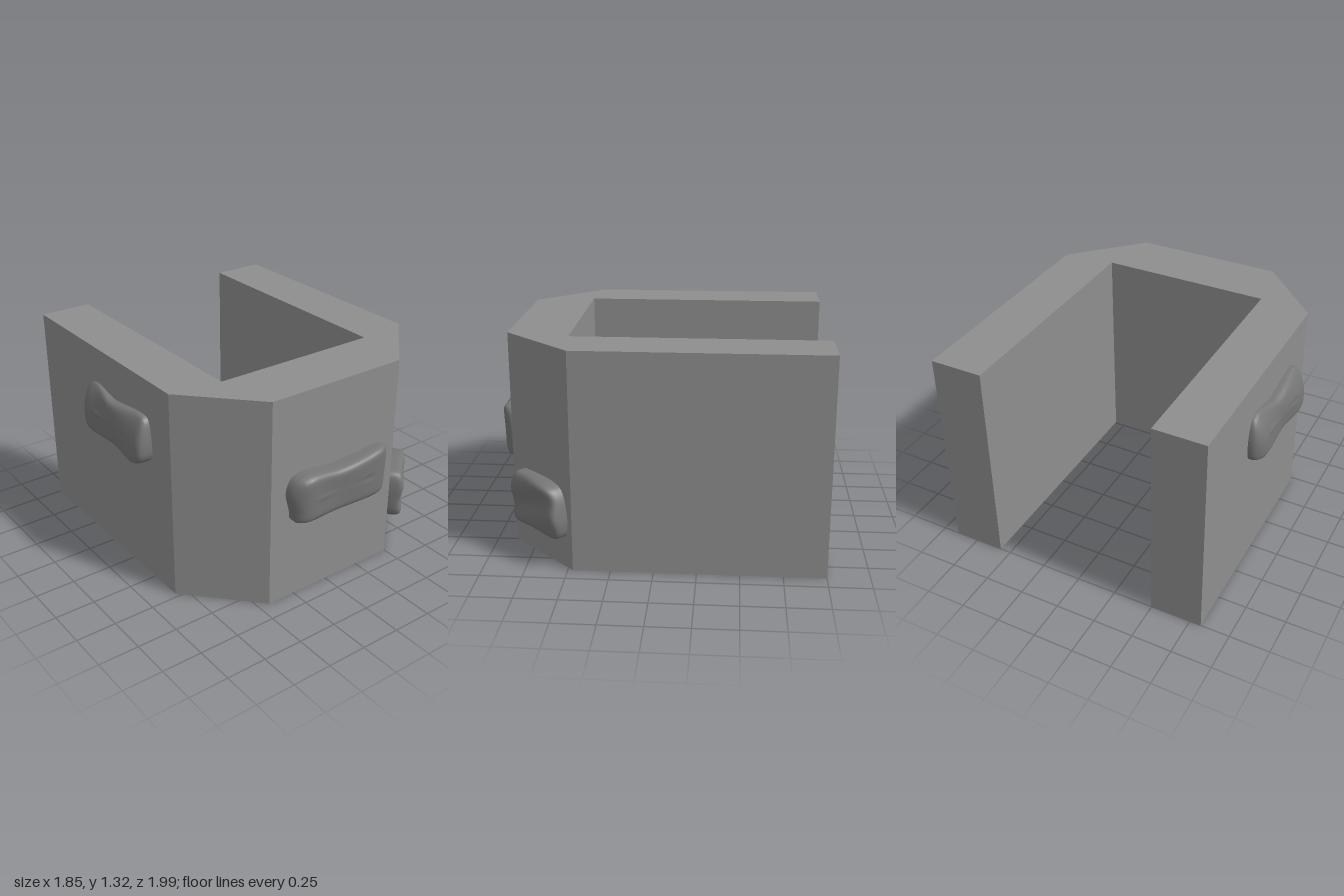
import * as THREE from 'three';
import { mergeGeometries } from 'three/addons/utils/BufferGeometryUtils.js';

const wallGrey = new THREE.MeshStandardMaterial({ color: 0x8e8e8e, side: THREE.DoubleSide });
const stoneGrey = new THREE.MeshStandardMaterial({ color: 0x767676 });
const HEIGHT = 1.32;

// U-shaped hollow wall with two chamfered front corners, open underneath
function makeWall() {
  const plan = [
    [-0.82, -1], [-0.497, -1], [-0.497, 0.51], [0.57, 0.51], [0.57, -1], [0.897, -1],
    [0.897, 0.47], [0.5, 0.88], [-0.43, 0.88], [-0.82, 0.47],
  ];
  const top = new THREE.ShapeGeometry(new THREE.Shape(plan.map(([x, z]) => new THREE.Vector2(x, -z))));
  top.rotateX(-Math.PI / 2).translate(0, HEIGHT, 0);
  const panels = plan.map(([x, z], i) => {
    const [x2, z2] = plan[(i + 1) % plan.length];
    const panel = new THREE.PlaneGeometry(Math.hypot(x2 - x, z2 - z), HEIGHT);
    panel.rotateY(Math.atan2(z2 - z, x - x2));
    return panel.translate((x + x2) / 2, HEIGHT / 2, (z + z2) / 2);
  });
  const wall = new THREE.Mesh(mergeGeometries([top, ...panels]), wallGrey);
  wall.name = 'wall';
  return wall;
}

// Worn stone set halfway into the wall: an outline stacked in rings that close at both ends
function makeStone(name, outline, depth) {
  const curve = new THREE.CatmullRomCurve3(
    outline.map(([u, v]) => new THREE.Vector3(u, v, 0)), true, 'catmullrom', 0.4);
  const N = 72, half = 0.16;
  const edge = curve.getSpacedPoints(N).slice(0, N);
  const c = new THREE.Box3().setFromPoints(edge).getCenter(new THREE.Vector3());
  // shrink of each ring (in units) and its share of the depth
  const frontRings = [[0, 0.1], [0, 0.5], [0.004, 0.75], [0.013, 0.9], [0.03, 0.98],
    [0.05, 1], [0.075, 1], [0.1, 1], [0.125, 1], [0.145, 1]];
  const rings = [...frontRings.map(([s, d]) => [s, -d]).reverse(), ...frontRings];
  const pos = [], idx = [];
  for (const [shrink, share] of rings) {
    for (const p of edge) {
      const du = p.x - c.x;
      const u = c.x + du * (1 - shrink / Math.max(Math.abs(du), half));
      const v = c.y + (p.y - c.y) * (1 - shrink / half);
      pos.push(u, v, share * depth(u, v));
    }
  }
  for (let r = 0; r < rings.length - 1; r++) {
    for (let i = 0; i < N; i++) {
      const j = (i + 1) % N, a = r * N + i, b = r * N + j;
      idx.push(a, b, b + N, a, b + N, a + N);
    }
  }
  // close the middle of the back and the front
  const last = (rings.length - 1) * N, mid = rings.length * N;
  pos.push(c.x, c.y, -depth(c.x, c.y), c.x, c.y, depth(c.x, c.y));
  for (let i = 0; i < N; i++) {
    const j = (i + 1) % N;
    idx.push(j, i, mid, last + i, last + j, mid + 1);
  }
  const geo = new THREE.BufferGeometry();
  geo.setAttribute('position', new THREE.Float32BufferAttribute(pos, 3));
  geo.setIndex(idx);
  geo.computeVertexNormals();
  const stone = new THREE.Mesh(geo, stoneGrey);
  stone.name = name;
  return stone;
}

// how far a value lies past a limit, squared, for tapering the ends
const past = (value, limit) => Math.max(0, value - limit) ** 2;

export function createModel() {
  const model = new THREE.Group();
  model.add(makeWall());

  // long stone on the front face (outlines run anticlockwise)
  const front = makeStone('frontStone', [
    [-0.28, 0.53], [-0.1, 0.525], [0.2, 0.512], [0.4, 0.52], [0.417, 0.6], [0.413, 0.75],
    [0.38, 0.825], [0.22, 0.815], [0, 0.805], [-0.2, 0.828], [-0.29, 0.805], [-0.327, 0.72], [-0.3, 0.6],
  ], (u, v) => 0.098 - 0.035 * u + 0.06 * (v - 0.67) + 0.004 * Math.sin(14 * u + 8 * v)
    - 4 * past(-u, 0.2) - 3 * past(u, 0.3));
  front.position.z = 0.88;

  // squarish stone on the left chamfer, with slanting grooves
  const corner = makeStone('cornerStone', [
    [-0.2, 0.2], [0, 0.192], [0.19, 0.192], [0.222, 0.28], [0.2, 0.42], [0.16, 0.485],
    [0.07, 0.51], [-0.12, 0.513], [-0.215, 0.495], [-0.232, 0.36],
  ], (u, v) => 0.078 + 0.009 * Math.sin(30 * v - 9 * u) + 0.004 * Math.sin(17 * u));
  corner.position.set(0.725, 0, 0.665);
  corner.rotation.y = Math.PI / 4;

  // long stone on the right side wall
  const side = makeStone('sideStone', [
    [-0.4, 0.81], [-0.2, 0.8], [0, 0.805], [0.2, 0.795], [0.275, 0.85], [0.27, 1.0],
    [0.23, 1.09], [0.05, 1.08], [-0.12, 1.06], [-0.3, 1.095], [-0.39, 1.07], [-0.425, 0.95],
  ], (u, v) => 0.088 + 0.03 * u - 1.5 * past(v, 0.91) - 4 * past(-u, 0.33)
    + 0.008 * Math.sin(13 * u + 10 * v - 9));
  side.position.x = -0.82;
  side.rotation.y = -Math.PI / 2;

  model.add(front, corner, side);
  return model;
}
